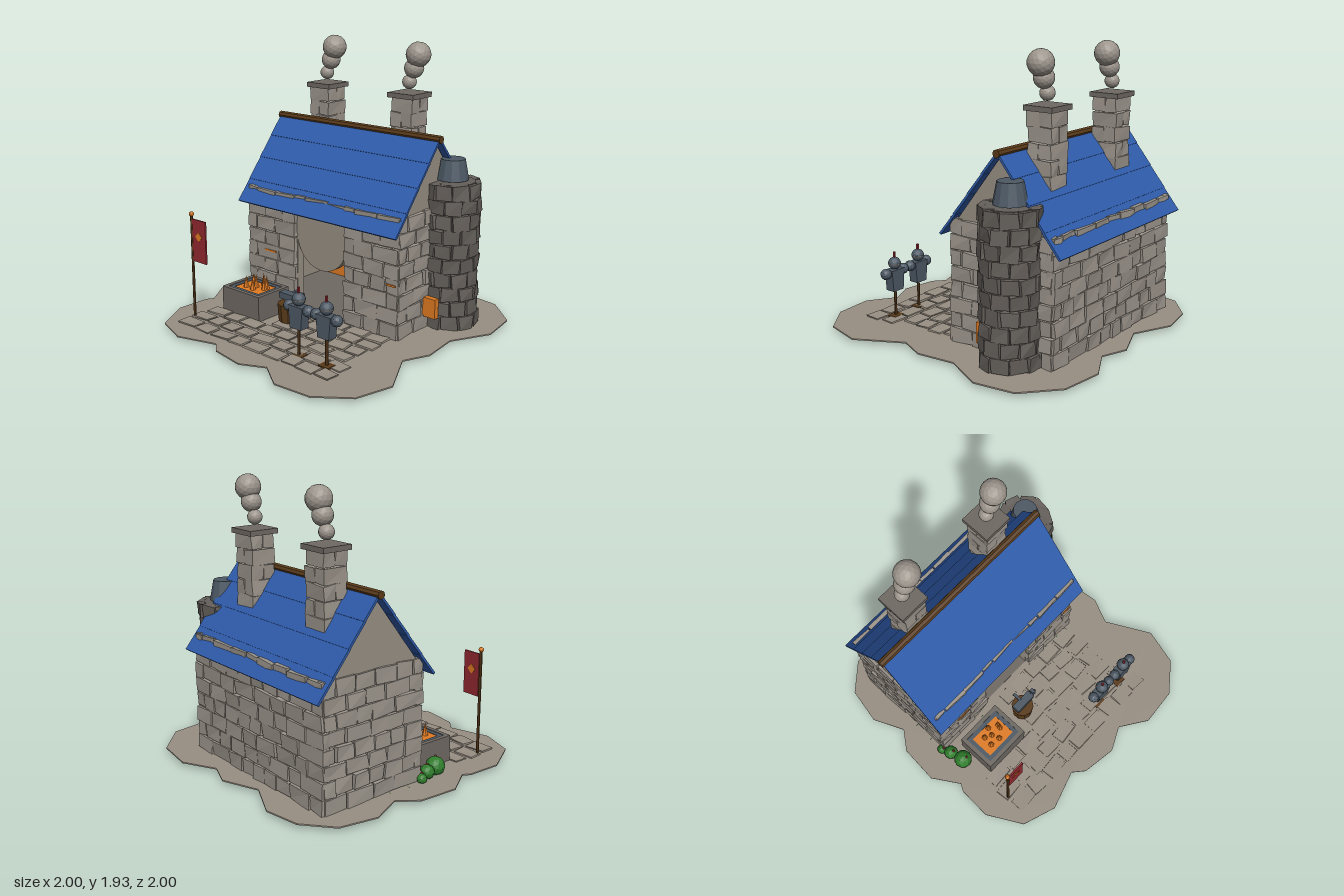
import * as THREE from 'three';
import { mergeGeometries } from 'three/addons/utils/BufferGeometryUtils.js';

const mat = (name, color) => Object.assign(new THREE.MeshStandardMaterial({ color, flatShading: true }), { name });

export function createModel() {
  const M = {
    stone: mat('lightStone', 0x9c958c), plaster: mat('plaster', 0x988f83), dark: mat('darkStone', 0x645f5a),
    grey: mat('midGrey', 0x6f6963), blue: mat('roofBlue', 0x2f5cab), wood: mat('wood', 0x5a3b1a),
    glow: mat('glow', 0xe07b22), iron: mat('iron', 0x4d5965), red: mat('bannerRed', 0x932a30), green: mat('leaf', 0x2f7d2c),
  };
  const model = new THREE.Group();
  let seed = 7;
  const rnd = () => (seed = (seed * 16807) % 2147483647) / 2147483647;
  const wob = (a) => (rnd() - 0.5) * 2 * a;

  const add = (name, geo, m, x = 0, y = 0, z = 0, parent = model) => {
    const mesh = new THREE.Mesh(geo, m);
    mesh.name = name;
    mesh.position.set(x, y, z);
    parent.add(mesh);
    return mesh;
  };
  const box = (name, m, x, y, z, w, h, d, parent) => add(name, new THREE.BoxGeometry(w, h, d), m, x, y, z, parent);
  const cyl = (name, m, x, y, z, r1, r2, h, n = 8, parent = model) =>
    add(name, new THREE.CylinderGeometry(r1, r2, h, n), m, x, y, z, parent);
  const ball = (name, m, x, y, z, r, detail = 2, parent = model) =>
    add(name, new THREE.IcosahedronGeometry(r, detail), m, x, y, z, parent);

  // Rough block: box corners moved by a hash of their signs so the faces stay joined
  const block = (w, h, d, a = 0.007) => {
    const g = new THREE.BoxGeometry(w, h, d), p = g.attributes.position;
    const off = Array.from({ length: 24 }, () => wob(a));
    for (let i = 0; i < p.count; i++) {
      const x = p.getX(i), y = p.getY(i), z = p.getZ(i);
      const k = 3 * ((x > 0) + 2 * (y > 0) + 4 * (z > 0));
      p.setXYZ(i, x + off[k], y + off[k + 1], z + off[k + 2]);
    }
    g.computeVertexNormals();
    return g;
  };

  // Ground slab
  const outline = [[-0.74, -0.94], [-0.49, -0.98], [-0.22, -0.85], [0.04, -0.95], [0.22, -0.88], [0.45, -1], [0.74, -0.96],
    [0.96, -0.76], [1, -0.48], [0.86, -0.21], [0.89, 0.06], [0.81, 0.24], [0.98, 0.56], [0.91, 0.82], [0.7, 0.98],
    [0.43, 1], [0.24, 0.87], [0.07, 0.95], [-0.18, 0.91], [-0.26, 0.84], [-0.54, 0.925], [-0.78, 0.84], [-0.92, 0.59],
    [-0.91, 0.35], [-0.88, 0.3], [-1, 0.11], [-0.98, -0.17], [-0.88, -0.3], [-0.98, -0.52], [-0.93, -0.78]];
  const groundShape = new THREE.Shape(outline.map(([x, z]) => new THREE.Vector2(x, -z)));
  add('ground', new THREE.ExtrudeGeometry(groundShape, { depth: 0.009, bevelEnabled: false }).rotateX(-Math.PI / 2), M.plaster, 0, 0.027, 0);

  // Paving in rows in front of the house
  const paving = [];
  [0.09, 0.205, 0.33, 0.455, 0.585, 0.71].forEach((z, r) => {
    for (let x = (r < 3 ? -0.2 : -0.74) + (r % 2) * 0.02; x < 0.56;) {
      const w = 0.11 + rnd() * 0.05;
      paving.push(block(w, 0.014, 0.1, 0.004).rotateY(wob(0.1)).translate(x + w / 2, 0.039, z + wob(0.006)));
      x += w + 0.018;
    }
  });
  add('paving', mergeGeometries(paving), M.plaster);

  // House shell: front wall with doorway under a hanging curved panel
  const front = new THREE.Shape();
  front.moveTo(-0.75, 0.025);
  front.lineTo(-0.31, 0.025);
  front.lineTo(-0.31, 0.58);
  front.absarc(-0.085, 0.58, 0.225, Math.PI, 2 * Math.PI, false);
  front.lineTo(0.14, 0.025);
  front.lineTo(0.58, 0.025);
  front.lineTo(0.58, 0.84);
  front.lineTo(-0.75, 0.84);
  add('frontWall', new THREE.ExtrudeGeometry(front, { depth: 0.06, bevelEnabled: false, curveSegments: 16 }), M.plaster, 0, 0, -0.06);
  box('backWall', M.plaster, -0.085, 0.435, -0.72, 1.33, 0.82, 0.06);
  for (const x of [-0.72, 0.55]) box('sideWall', M.plaster, x, 0.435, -0.37, 0.06, 0.82, 0.7);
  box('floor', M.grey, -0.085, 0.032, -0.37, 1.33, 0.016, 0.74);
  box('hearthGlow', M.glow, -0.085, 0.32, -0.684, 1.2, 0.56, 0.008);
  const gable = new THREE.Shape([[-0.36, 0], [0.36, 0], [0, 0.46]].map((p) => new THREE.Vector2(...p)));
  add('gables', new THREE.ExtrudeGeometry(gable, { depth: 1.35, bevelEnabled: false }).rotateY(Math.PI / 2), M.plaster, -0.76, 0.84, -0.37);
  box('windowSill', M.glow, -0.55, 0.41, 0.034, 0.11, 0.012, 0.008);
  box('windowSill', M.glow, 0.55, 0.41, 0.034, 0.07, 0.012, 0.008);

  // Stone facing laid in courses along a wall
  const ROW = 0.104;
  const facing = (name, length, x, z, turn, from = 0, to = 8) => {
    const list = [];
    for (let r = from; r < to; r++) {
      let u = 0;
      const first = r % 2 ? 0.09 : 0.17;
      while (u < length - 0.01) {
        let w = u === 0 ? first : 0.12 + rnd() * 0.1;
        if (length - u - w < 0.08) w = length - u;
        const d = 0.055 + rnd() * 0.012;
        list.push(block(w - 0.008, ROW - 0.007, d).translate(u + w / 2, 0.035 + ROW * (r + 0.5), d / 2 - 0.03));
        u += w;
      }
    }
    const mesh = add(name, mergeGeometries(list), M.stone, x, 0, z);
    mesh.rotation.y = turn;
  };
  facing('frontStonesLeft', 0.465, -0.775, 0, 0);
  facing('frontStonesRight', 0.465, 0.14, 0, 0);
  facing('lintelStones', 0.45, -0.31, -0.01, 0, 7, 8);
  facing('backStones', 1.38, 0.605, -0.745, Math.PI);
  facing('rightStones', 0.79, 0.575, 0.025, Math.PI / 2);
  facing('leftStones', 0.79, -0.745, -0.765, -Math.PI / 2);

  // Roof: two slopes of overlapping courses
  for (const side of [0, Math.PI]) {
    const slope = new THREE.Group();
    slope.name = 'roofSlope';
    slope.rotation.set(Math.atan2(0.58, 0.46), side, 0, 'YXZ');
    slope.position.set(-0.09, 1.33, -0.37);
    for (let i = 0; i < 4; i++)
      box('roofCourse', M.blue, 0, 0, 0.092 + i * 0.184, 1.435, 0.016, 0.194, slope).rotation.x = -0.02;
    model.add(slope);
  }
  cyl('ridgeBeam', M.wood, -0.092, 1.325, -0.37, 0.027, 0.027, 1.455, 8).rotation.z = Math.PI / 2;

  // Chimneys with smoke
  for (const x of [-0.46, 0.28]) {
    const list = [];
    for (let r = 0; r < 5; r++) {
      for (const s of [-1, 1]) {
        const g = r % 2 ? block(0.087, 0.096, 0.178).translate(s * 0.045, 0, 0) : block(0.178, 0.096, 0.087).translate(0, 0, s * 0.045);
        list.push(g.translate(x, 1.11 + r * 0.1, -0.49));
      }
    }
    add('chimney', mergeGeometries(list), M.stone);
    box('chimneyCap', M.grey, x, 1.573, -0.49, 0.215, 0.034, 0.215);
    [[0, 1.66, 0.05], [0.036, 1.755, 0.068], [0.07, 1.848, 0.086]].forEach(([dx, y, r]) => ball('smoke', M.stone, x + dx, y, -0.487, r));
  }

  // Round furnace tower with flue pot and glowing vent
  const TX = 0.65, TZ = -0.49;
  cyl('towerCore', M.dark, TX, 0.53, TZ, 0.155, 0.155, 1.01, 16);
  const ring = [];
  for (let r = 0; r < 10; r++) {
    for (let i = 0; i < 10; i++) {
      const a = ((i + (r % 2) / 2) / 10) * Math.PI * 2;
      ring.push(block(0.11, 0.094, 0.065, 0.008).translate(0, 0, 0.15 + rnd() * 0.012).rotateY(a).translate(TX, 0.085 + r * 0.1, TZ));
    }
  }
  add('towerStones', mergeGeometries(ring), M.dark);
  cyl('fluePot', M.iron, TX, 1.115, TZ, 0.083, 0.11, 0.14, 12);
  box('furnaceVent', M.glow, 0.645, 0.193, -0.277, 0.108, 0.137, 0.04);

  // Open forge with coals and flames
  box('forgeBase', M.grey, -0.485, 0.115, 0.255, 0.36, 0.17, 0.295);
  const rim = (w, d, t, y, h, m) => {
    for (const s of [-1, 1]) {
      box('forgeRim', m, -0.485 + s * (w - t) / 2, y, 0.255, t, h, d);
      box('forgeRim', m, -0.485, y, 0.255 + s * (d - t) / 2, w - 2 * t, h, t);
    }
  };
  rim(0.36, 0.295, 0.03, 0.2, 0.03, M.grey);
  rim(0.3, 0.235, 0.03, 0.204, 0.012, M.iron);
  box('coals', M.glow, -0.485, 0.2, 0.25, 0.24, 0.012, 0.185);
  [[-0.535, 0.22], [-0.465, 0.19], [-0.4, 0.225], [-0.54, 0.29], [-0.485, 0.245], [-0.405, 0.25], [-0.465, 0.3]].forEach(([x, z], i) =>
    cyl('flame', M.glow, x, 0.25, z, 0, 0.022, 0.085 + (i % 3) * 0.015, 6));

  // Anvil on a stump
  cyl('stump', M.wood, -0.16, 0.1, 0.25, 0.082, 0.072, 0.145, 10);
  box('anvilFoot', M.iron, -0.15, 0.185, 0.245, 0.05, 0.03, 0.05);
  box('anvilBody', M.iron, -0.148, 0.22, 0.245, 0.165, 0.045, 0.06);
  cyl('anvilHorn', M.iron, -0.045, 0.222, 0.245, 0.01, 0.028, 0.05, 8).rotation.z = -Math.PI / 2;
  box('hammerHead', M.iron, -0.047, 0.23, 0.245, 0.026, 0.07, 0.035);
  box('hammerHandle', M.iron, -0.155, 0.235, 0.19, 0.02, 0.018, 0.07);

  // Armour stands
  const torso = new THREE.BoxGeometry(0.12, 0.15, 0.07);
  const tp = torso.attributes.position;
  for (let i = 0; i < tp.count; i++) if (tp.getY(i) < 0) tp.setX(i, tp.getX(i) * 0.78);
  torso.computeVertexNormals();
  for (const x of [0.28, 0.512]) {
    const stand = new THREE.Group();
    stand.name = 'armourStand';
    stand.position.set(x, 0, 0.62);
    box('standBase', M.wood, 0, 0.036, 0, 0.085, 0.022, 0.07, stand);
    cyl('standPole', M.wood, 0, 0.14, 0, 0.01, 0.01, 0.22, 6, stand);
    add('breastplate', torso, M.iron, 0, 0.305, 0, stand);
    for (const s of [-1, 1]) ball('pauldron', M.iron, s * 0.083, 0.36, 0, 0.039, 1, stand);
    ball('helmet', M.iron, 0, 0.42, 0, 0.044, 2, stand);
    cyl('helmetBrim', M.grey, 0, 0.42, 0, 0.046, 0.046, 0.006, 12, stand);
    box('crest', M.red, 0, 0.475, 0, 0.012, 0.05, 0.014, stand);
    model.add(stand);
  }

  // Banner
  cyl('bannerPole', M.wood, -0.715, 0.4, 0.622, 0.01, 0.01, 0.75, 6);
  ball('bannerFinial', M.glow, -0.715, 0.782, 0.622, 0.018, 1);
  box('banner', M.red, -0.638, 0.6, 0.622, 0.13, 0.3, 0.012);
  box('bannerDiamond', M.glow, -0.64, 0.632, 0.622, 0.048, 0.048, 0.018).rotation.z = Math.PI / 4;

  // Bushes with berries and small tufts at the foot of the walls
  [[-0.74, 0.08, 0.19, 0.066], [-0.765, 0.075, 0.09, 0.05], [-0.79, 0.055, 0.02, 0.035]].forEach(([x, y, z, r]) => {
    ball('bush', M.green, x, y, z, r, 1);
    ball('berry', M.red, x + r * 0.3, y + r * 0.85, z + r * 0.3, 0.011, 0);
  });
  [[-0.02, 0.05], [0.46, 0.04], [-0.79, -0.1], [-0.785, -0.25], [-0.76, 0.07], [-0.4, 0.06], [0.2, -0.74]].forEach(([x, z]) =>
    ball('tuft', M.green, x, 0.02, z, 0.02, 0));
  return model;
}
